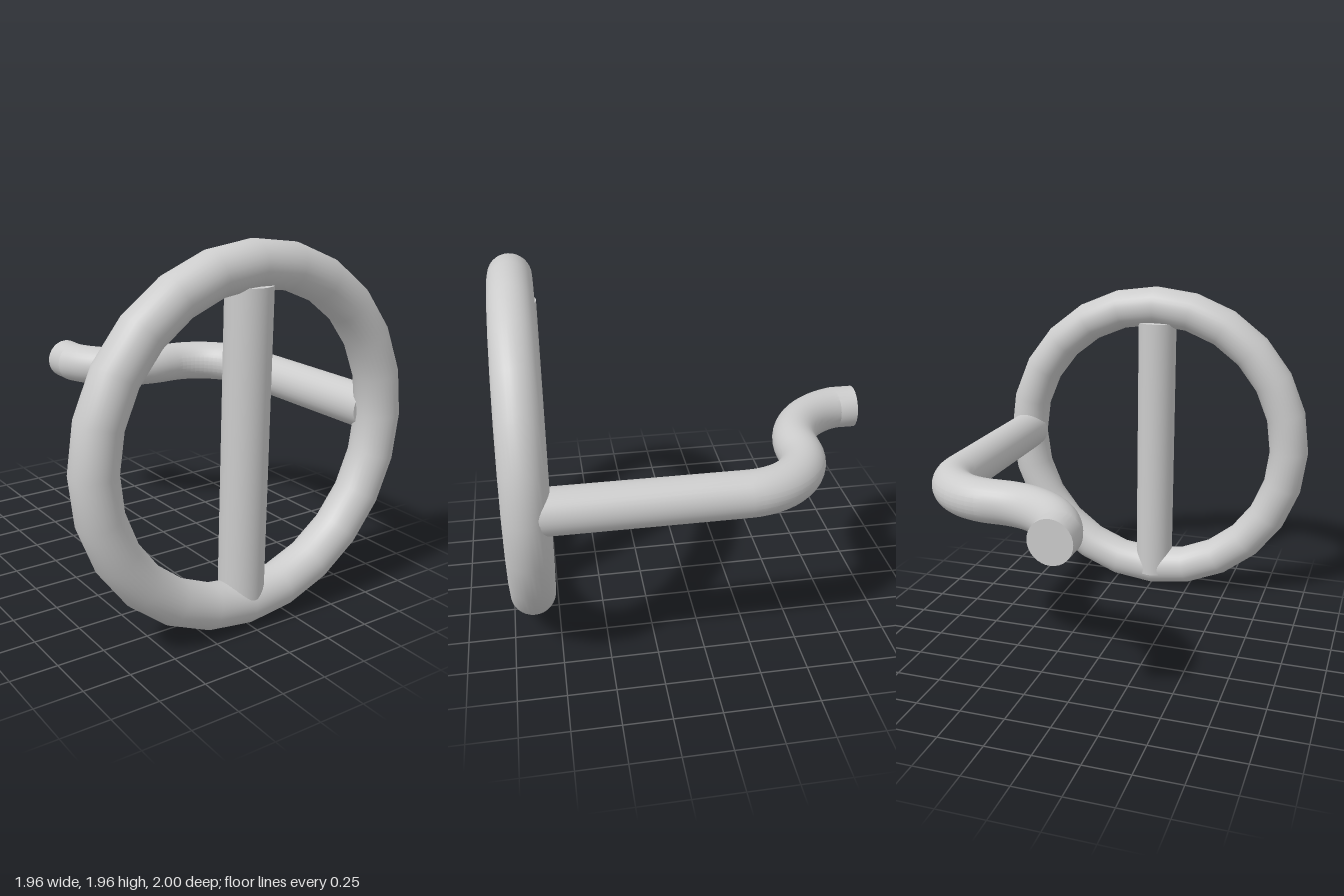
import * as THREE from 'three';
import { toCreasedNormals } from 'three/addons/utils/BufferGeometryUtils.js';

const R = 0.1175; // radius of every pipe
const SIDES = 32;

// Capped pipe along [x, z] points at a constant height, mitred at each bend
function pipeGeometry(points, y) {
  const pts = points.map(([x, z]) => new THREE.Vector3(x, y, z));
  const last = pts.length - 1;
  const dir = (i) => pts[i + 1].clone().sub(pts[i]).normalize();
  const up = new THREE.Vector3(0, 1, 0);
  const pos = [];
  const index = [];
  pts.forEach((p, i) => {
    const a = dir(Math.max(i - 1, 0));
    const b = dir(Math.min(i, last - 1));
    const t = a.clone().add(b).normalize();
    const side = up.clone().cross(t).multiplyScalar(R / t.dot(b));
    for (let j = 0; j < SIDES; j++) {
      const q = (j / SIDES) * Math.PI * 2;
      const v = p.clone().addScaledVector(side, Math.cos(q)).addScaledVector(up, R * Math.sin(q));
      pos.push(v.x, v.y, v.z);
      if (i === last) continue;
      const k = i * SIDES;
      const n = (j + 1) % SIDES;
      index.push(k + j, k + n, k + SIDES + j, k + n, k + SIDES + n, k + SIDES + j);
    }
  });
  // End caps
  const end = last * SIDES;
  for (let j = 1; j < SIDES - 1; j++) {
    index.push(0, j + 1, j, end, end + j, end + j + 1);
  }
  const geo = new THREE.BufferGeometry();
  geo.setAttribute('position', new THREE.Float32BufferAttribute(pos, 3));
  geo.setIndex(index);
  return toCreasedNormals(geo, 0.22);
}

// Points of an arc in the x-z plane, angles in degrees
function arc(cx, cz, r, from, to, steps) {
  return Array.from({ length: steps + 1 }, (_, i) => {
    const a = THREE.MathUtils.degToRad(from + ((to - from) * i) / steps);
    return [cx + r * Math.cos(a), cz + r * Math.sin(a)];
  });
}

export function createModel() {
  const group = new THREE.Group();
  const material = new THREE.MeshStandardMaterial({ color: 0xcccccc });
  const add = (name, geometry, x = 0, y = 0, z = 0) => {
    const mesh = new THREE.Mesh(geometry, material);
    mesh.name = name;
    mesh.position.set(x, y, z);
    group.add(mesh);
  };

  // Upright ring at the front
  add('ring', new THREE.TorusGeometry(0.98 - R, R, SIDES, 24), 0, 0.98, 1 - R);

  // Vertical bar across the ring
  add('crossBar', new THREE.CylinderGeometry(R, R, 1.655, SIDES), -0.013, 0.9175, 0.873);

  // Arm running back from the ring, with an S-bend to the middle
  const path = [
    [0.845, 0.85],
    ...arc(0.485, -0.192, 0.36, 0, -90, 14),
    ...arc(0.425, -1.012, 0.46, 90, 164, 14),
    [-0.017, -1],
  ];
  add('bentArm', pipeGeometry(path, 0.995));

  return group;
}
